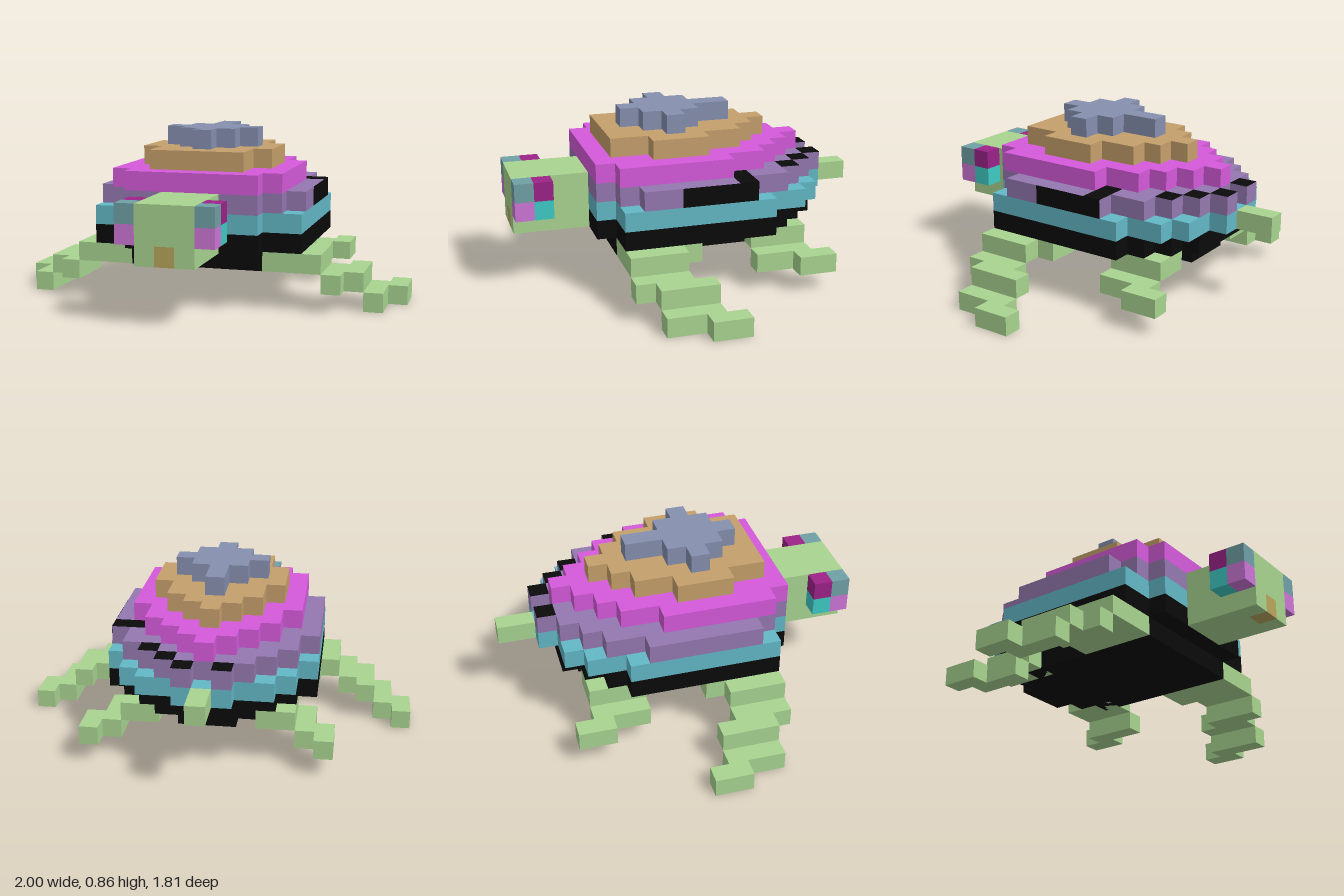
import * as THREE from 'three';

const U = 2 / 21; // one block

const COLORS = {
  skin: 0xa8d490, black: 0x0a0a0a, teal: 0x62b8c6, purple: 0x9478b0, magenta: 0xd55adb,
  tan: 0xc59f6b, blue: 0x858fae, mouth: 0xb8a55c,
  eyeTeal: 0x6fa0a6, eyePlum: 0x9c2389, eyePink: 0xcc76d6, eyeCyan: 0x3fcac4,
};
const materials = {};
for (const [key, color] of Object.entries(COLORS)) {
  materials[key] = new THREE.MeshStandardMaterial({ color, flatShading: true });
}

// Box covering whole blocks, from the first to the last index on each axis
function blocks(parent, name, color, [x0, x1], [y0, y1], [z0, z1]) {
  const geometry = new THREE.BoxGeometry((x1 - x0 + 1) * U, (y1 - y0 + 1) * U, (z1 - z0 + 1) * U);
  const mesh = new THREE.Mesh(geometry, materials[color]);
  mesh.name = name;
  mesh.position.set((x0 + x1) / 2 * U, ((y0 + y1 + 1) / 2) * U, (z0 + z1) / 2 * U);
  parent.add(mesh);
  return mesh;
}

// One-block-high slab with a stepped outline; halfWidths lists the rows from back to front
function slab(parent, name, color, level, firstRow, halfWidths) {
  const right = [];
  halfWidths.forEach((w, i) => {
    const z = firstRow + i;
    for (const edge of [z - 0.5, z + 0.5]) right.push(new THREE.Vector2((w + 0.5) * U, -edge * U));
  });
  const left = right.map((p) => new THREE.Vector2(-p.x, p.y)).reverse();
  const outline = [...right, ...left].filter((p, i, all) => i === 0 || !p.equals(all[i - 1]));
  const geometry = new THREE.ExtrudeGeometry(new THREE.Shape(outline), { depth: U, bevelEnabled: false });
  geometry.rotateX(-Math.PI / 2);
  const mesh = new THREE.Mesh(geometry, materials[color]);
  mesh.name = name;
  mesh.position.y = level * U;
  parent.add(mesh);
}

export function createModel() {
  const model = new THREE.Group();
  model.name = 'turtle';

  // Belly and shell, layer by layer from the bottom
  const shell = new THREE.Group();
  shell.name = 'shell';
  model.add(shell);
  slab(shell, 'bellyPlate', 'black', 2, -5, [1, 2, 3, 3, 3, 3, 3, 3, 3, 3]);
  slab(shell, 'bellyRim', 'black', 3, -6, [2, 3, 4, 5, 5, 5, 5, 5, 5, 5, 5, 3]);
  slab(shell, 'shellRim', 'teal', 4, -7, [1, 3, 4, 4, 5, 5, 5, 5, 5, 5, 5, 5, 3]);
  slab(shell, 'shellLowerTier', 'purple', 5, -6, [2, 3, 4, 4, 5, 5, 5, 5, 5, 5, 4, 3]);
  slab(shell, 'shellMiddleTier', 'magenta', 6, -6, [0, 1, 2, 3, 3, 4, 4, 4, 4, 4, 4, 3]);
  slab(shell, 'shellUpperTier', 'tan', 7, -4, [0, 1, 2, 2, 3, 3, 3, 2, 2]);
  slab(shell, 'shellCrown', 'blue', 8, -2, [0, 0, 1, 2, 1, 0]);
  for (const s of [-1, 1]) blocks(shell, 'shellBackNub', 'purple', [s, s], [5, 5], [-7, -7]);

  // Dark patches lying on the lower tier
  const patches = [[-1, -1, -7], [1, 1, -7], [2, 2, -6], [3, 3, -5], [4, 5, -2]];
  for (const [x0, x1, z] of patches) {
    const patch = blocks(shell, 'darkTopPatch', 'black', [x0, x1], [5, 5], [z, z]);
    patch.scale.y = 0.02;
    patch.position.y = 6 * U;
  }
  const sidePatch = blocks(shell, 'darkSidePatch', 'black', [5, 5], [5, 5], [-2, 1]);
  sidePatch.scale.x = 0.02;
  sidePatch.position.x = 5.5 * U;

  // Head, with the mouth block set into the lower front edge
  const head = new THREE.Group();
  head.name = 'head';
  model.add(head);
  blocks(head, 'headTop', 'skin', [-1, 1], [4, 5], [6, 9]);
  blocks(head, 'jaw', 'skin', [-1, 1], [3, 3], [6, 8]);
  blocks(head, 'mouth', 'mouth', [0, 0], [3, 3], [9, 9]);

  for (const s of [-1, 1]) {
    const span = (a, b) => (s > 0 ? [a, b] : [-b, -a]);
    blocks(head, 'cheek', 'skin', span(1, 1), [3, 3], [9, 9]);

    // Eye of four blocks
    const eye = new THREE.Group();
    eye.name = s > 0 ? 'leftEye' : 'rightEye';
    head.add(eye);
    for (const [color, y, z] of [['eyeTeal', 5, 9], ['eyePlum', 5, 8], ['eyePink', 4, 9], ['eyeCyan', 4, 8]]) {
      blocks(eye, 'eyeBlock', color, span(2, 2), [y, y], [z, z]);
    }

    // Legs stepping down and outwards: x from, x to, level, z from, z to
    const legs = {
      FrontLeg: [[4, 5, 2, 1, 4], [6, 6, 2, 2, 4], [7, 7, 1, 2, 4], [8, 8, 1, 1, 3], [9, 9, 0, 1, 3], [10, 10, 0, 0, 1]],
      BackLeg: [[3, 4, 2, -5, -3], [5, 5, 1, -5, -3], [6, 6, 1, -6, -5]],
    };
    for (const [name, parts] of Object.entries(legs)) {
      const leg = new THREE.Group();
      leg.name = (s > 0 ? 'left' : 'right') + name;
      model.add(leg);
      for (const [x0, x1, y, z0, z1] of parts) blocks(leg, 'legStep', 'skin', span(x0, x1), [y, y], [z0, z1]);
    }
  }

  blocks(model, 'tail', 'skin', [0, 0], [4, 4], [-9, -8]);
  return model;
}
